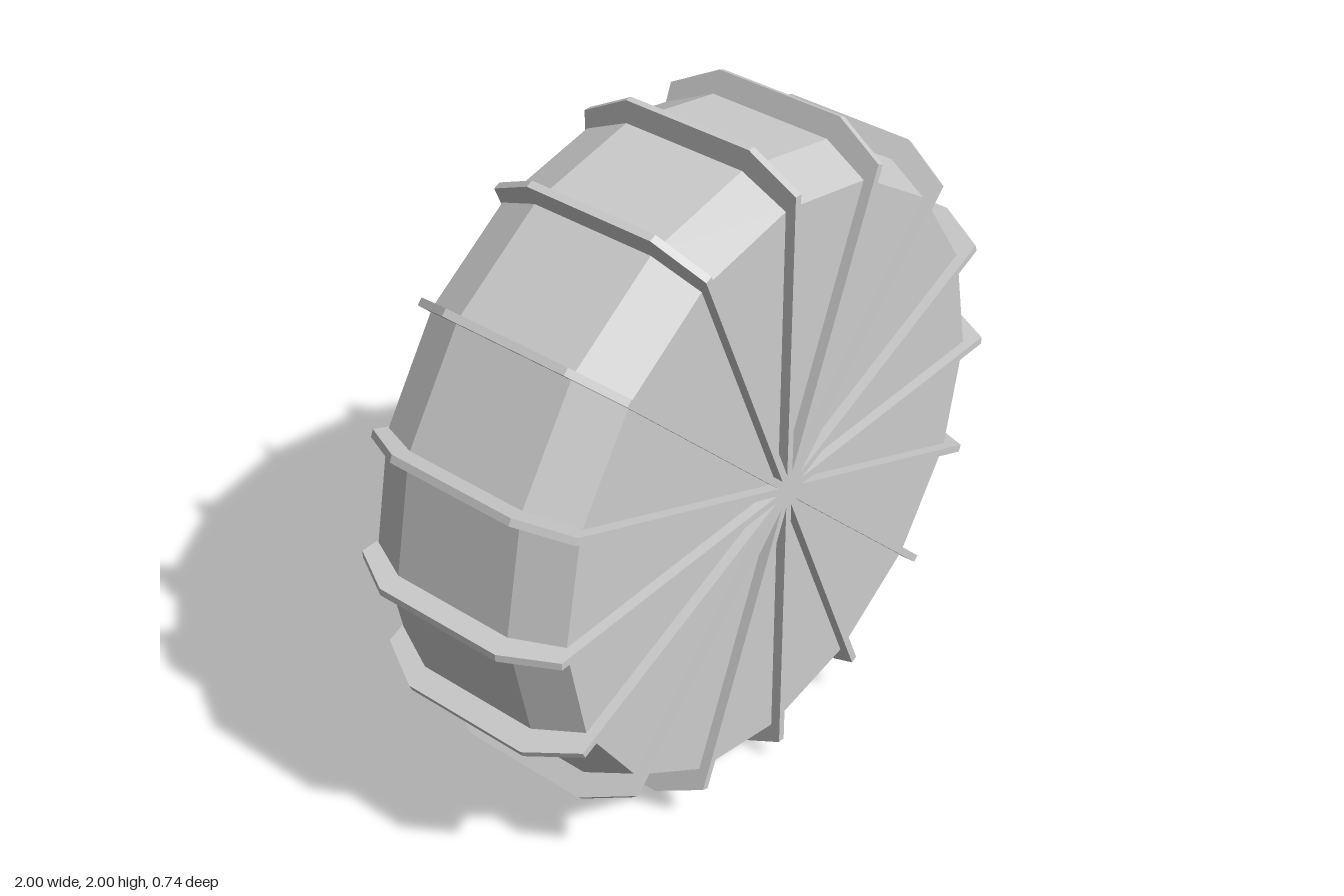
import * as THREE from 'three';

const SIDES = 16;

export function createModel() {
  const group = new THREE.Group();
  const material = new THREE.MeshStandardMaterial({ color: 0xcccccc, flatShading: true });

  // Drum: [radius, z] from the back centre, over the tread, to the front centre
  const drumProfile = [
    [0, -0.21], [0.3, -0.3], [0.4, -0.352], [0.49, -0.315], [0.54, -0.24],
    [0.64, -0.24], [0.7, -0.316], [0.87, -0.316], [0.935, -0.18],
    [0.935, 0.2], [0.87, 0.34], [0, 0.34],
  ].map(([r, z]) => new THREE.Vector2(r, z));
  const drumGeometry = new THREE.LatheGeometry(drumProfile, SIDES);
  drumGeometry.rotateX(Math.PI / 2);
  const drum = new THREE.Mesh(drumGeometry, material);
  drum.name = 'wheelDrum';

  // Fin: thin radial plate standing just proud of the drum, notched at the back hub
  const finProfile = [
    [0, 0.37], [0.92, 0.37], [1, 0.22], [1, -0.18], [0.92, -0.323],
    [0.7, -0.323], [0.64, -0.248], [0.545, -0.248], [0.5, -0.325],
    [0.4, -0.37], [0.12, -0.37], [0.1, -0.22], [0, -0.22],
  ].map(([r, z]) => new THREE.Vector2(r, z));
  const thickness = 0.022;
  const finGeometry = new THREE.ExtrudeGeometry(new THREE.Shape(finProfile), {
    depth: thickness, bevelEnabled: false,
  });
  finGeometry.translate(0, 0, -thickness / 2);
  finGeometry.rotateX(Math.PI / 2);

  // Fins sit on the corners of the drum
  const fins = new THREE.Group();
  fins.name = 'radialFins';
  for (let i = 0; i < SIDES; i++) {
    const fin = new THREE.Mesh(finGeometry, material);
    fin.name = 'fin';
    fin.rotation.z = (i / SIDES) * Math.PI * 2;
    fins.add(fin);
  }

  const wheel = new THREE.Group();
  wheel.name = 'wheel';
  wheel.add(drum, fins);
  wheel.position.y = 1;
  group.add(wheel);
  return group;
}
